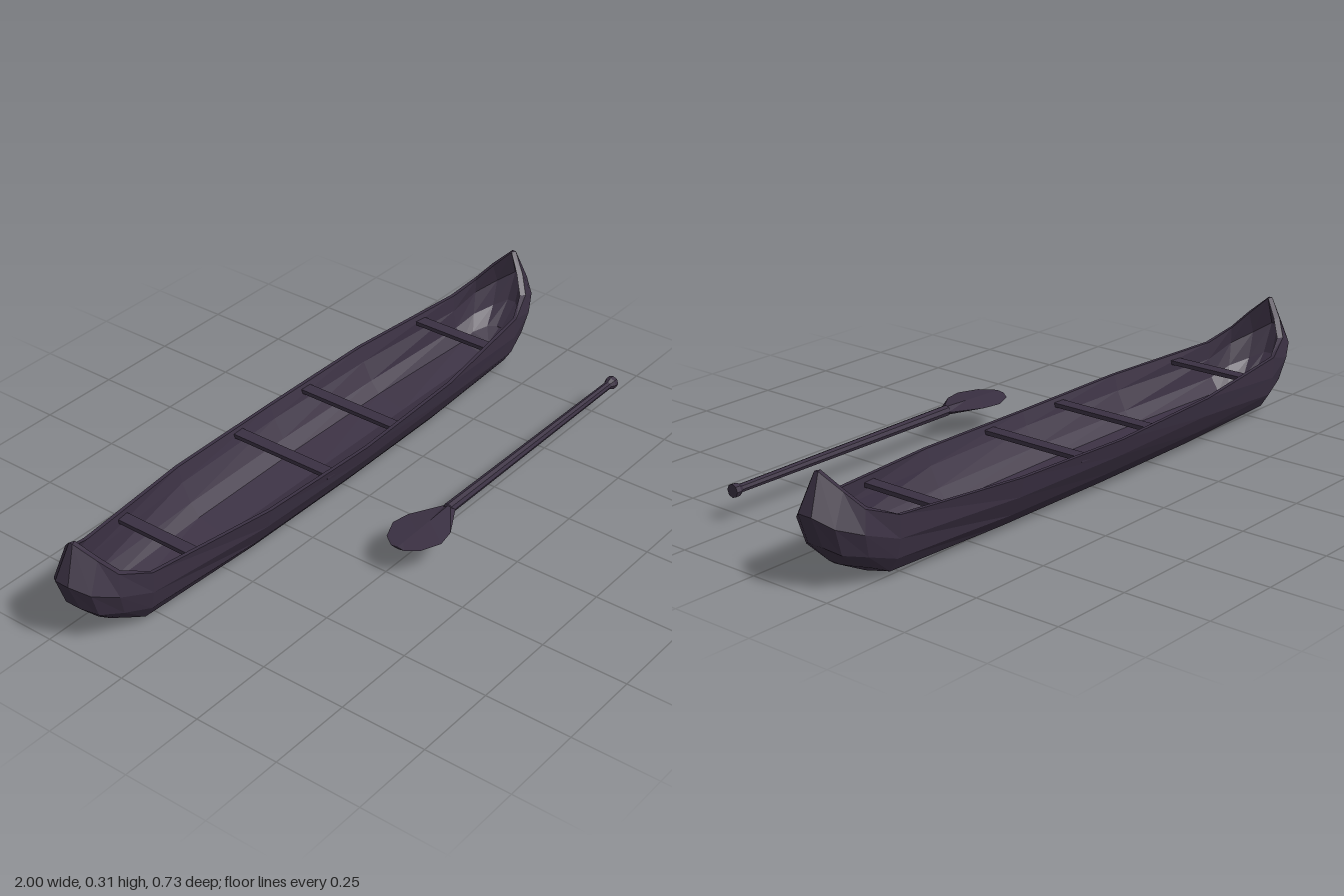
import * as THREE from 'three';

// Builds a faceted surface from a grid of [x, y, z] points.
function loft(grid, flip = false) {
  const cols = grid[0].length, index = [];
  for (let i = 0; i < grid.length - 1; i++) {
    for (let j = 0; j < cols - 1; j++) {
      const a = i * cols + j, b = a + cols, c = b + 1, d = a + 1;
      if (flip) index.push(a, d, c, a, c, b);
      else index.push(a, b, c, a, c, d);
    }
  }
  const geo = new THREE.BufferGeometry();
  geo.setAttribute('position', new THREE.Float32BufferAttribute(grid.flat(2), 3));
  geo.setIndex(index);
  geo.computeVertexNormals();
  return geo;
}

// One quarter of the hull: each line runs from midships to the stem as [x, y, half width].
const hullLines = [
  [[0, 0.16, 0.18], [0.4, 0.167, 0.17], [0.8, 0.178, 0.121], [0.89, 0.212, 0.092], [0.925, 0.257, 0.055], [0.957, 0.305, 0.006]],
  [[0, 0.11, 0.167], [0.4, 0.11, 0.158], [0.8, 0.115, 0.119], [0.9, 0.15, 0.1], [0.965, 0.175, 0.065], [1, 0.205, 0.022]],
  [[0, 0.055, 0.135], [0.4, 0.055, 0.13], [0.8, 0.06, 0.108], [0.88, 0.085, 0.09], [0.94, 0.1, 0.06], [0.968, 0.12, 0.025]],
  [[0, 0.02, 0.105], [0.4, 0.02, 0.101], [0.8, 0.02, 0.082], [0.85, 0.042, 0.07], [0.89, 0.053, 0.045], [0.905, 0.055, 0.02]],
  [[0, 0, 0], [0.4, 0, 0], [0.8, 0, 0], [0.85, 0.025, 0], [0.89, 0.045, 0], [0.905, 0.053, 0]],
];

// Hull sections from end to end; the inner skin is set in by the wall thickness.
function hullGrid(wall) {
  const rows = [];
  for (let s = -6; s <= 6; s++) {
    const k = Math.min(Math.abs(s), 5), closed = Math.abs(s) === 6;
    const side = hullLines.map((line, level) => {
      const [x, y, z] = line[k];
      return [
        Math.sign(s) * (x - (k > 2 ? wall * 1.3 : 0)),
        y + (level > 0 ? wall : 0),
        closed ? 0 : Math.max(z - wall, 0),
      ];
    });
    const far = side.slice(0, -1).reverse().map(([x, y, z]) => [x, y, -z]);
    rows.push([...side, ...far]);
  }
  return rows;
}

export function createModel() {
  const model = new THREE.Group();
  model.name = 'canoeAndPaddle';
  const wood = new THREE.MeshStandardMaterial({ color: 0x3a3042 });
  wood.name = 'dark plum wood';
  wood.flatShading = true;

  const add = (parent, name, geo, x = 0, y = 0, z = 0) => {
    const mesh = new THREE.Mesh(geo, wood);
    mesh.name = name;
    mesh.position.set(x, y, z);
    parent.add(mesh);
    return mesh;
  };

  // Canoe hull with inner skin and rim
  const canoe = new THREE.Group();
  canoe.name = 'canoe';
  canoe.position.z = -0.185;
  model.add(canoe);
  const outer = hullGrid(0), inner = hullGrid(0.011);
  add(canoe, 'hullOutside', loft(outer, true));
  add(canoe, 'hullInside', loft(inner));
  const last = outer[0].length - 1;
  for (const [j, flip, name] of [[0, true, 'frontRim'], [last, false, 'backRim']]) {
    add(canoe, name, loft([outer.map(r => r[j]), inner.map(r => r[j])], flip));
  }

  // Cross bars between the gunwales
  for (const side of [-1, 1]) {
    add(canoe, 'endThwart', new THREE.BoxGeometry(0.038, 0.012, 0.264), side * 0.65, 0.153, 0);
    add(canoe, 'middleThwart', new THREE.BoxGeometry(0.038, 0.012, 0.342), side * 0.148, 0.146, 0);
  }

  // Paddle lying alongside
  const paddle = new THREE.Group();
  paddle.name = 'paddle';
  paddle.position.set(0, 0.09, 0.284);
  model.add(paddle);

  // Shaft with a flared grip, turned on the x axis
  const profile = [[0, -0.03], [0.016, -0.02], [0.012, 0.775], [0.019, 0.788], [0.019, 0.802], [0, 0.802]];
  const shaft = new THREE.LatheGeometry(profile.map(([r, l]) => new THREE.Vector2(r, l)), 8);
  shaft.rotateZ(-Math.PI / 2);
  add(paddle, 'shaft', shaft);

  // Blade with a lens-shaped section: [x, half width, half thickness]
  const blade = [[-0.246, 0, 0], [-0.245, 0.022, 0.003], [-0.22, 0.055, 0.004], [-0.16, 0.08, 0.006],
    [-0.105, 0.07, 0.008], [-0.01, 0.017, 0.012], [0.01, 0.012, 0.01]];
  add(paddle, 'blade', loft(blade.map(([x, w, t]) =>
    [[x, 0, w], [x, t, 0], [x, 0, -w], [x, -t, 0], [x, 0, w]])));

  return model;
}
